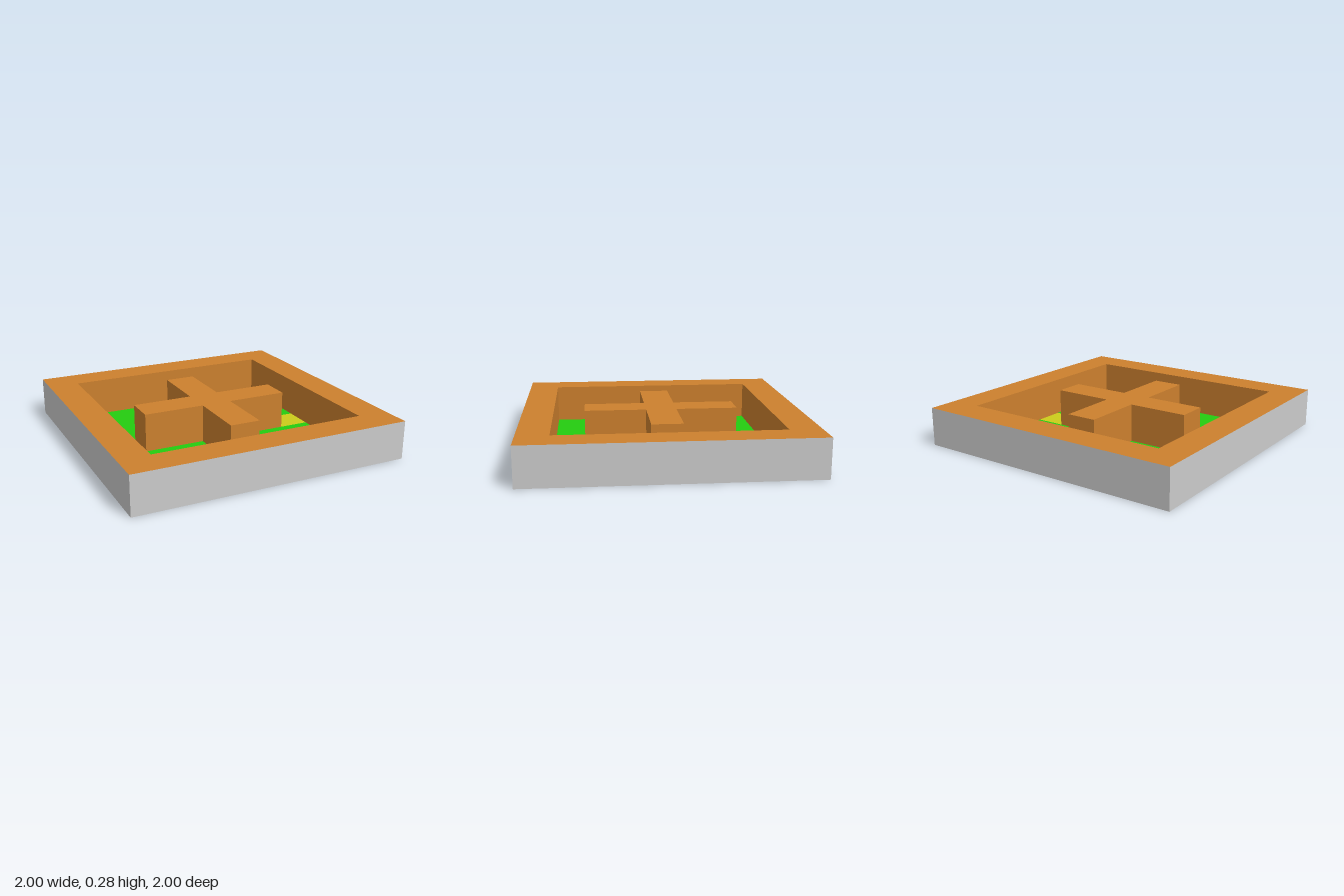
import * as THREE from 'three';

const HEIGHT = 0.278; // wall height
const PIT = 0.778;    // half width of the sunken floor
const ARM = 0.556;    // half length of the cross
const BAR = 0.111;    // half width of the cross arms

const paint = (color) => new THREE.MeshStandardMaterial({ color, side: THREE.DoubleSide, flatShading: true });
const grey = paint(0xcccccc);
const brown = paint(0xcc802e);
const green = paint(0x24cc10);
const yellow = paint(0xcccc1a);
const red = paint(0xcc111c);

const square = (h) => [[-h, -h], [h, -h], [h, h], [-h, h]].map(([x, y]) => new THREE.Vector2(x, y));

// Upright faces along a closed outline; counterclockwise outlines face outward
function wallGeometry(outline) {
  const positions = [];
  outline.forEach((a, i) => {
    const b = outline[(i + 1) % outline.length];
    const corners = [[a, 0], [b, 0], [b, HEIGHT], [a, 0], [b, HEIGHT], [a, HEIGHT]];
    for (const [p, y] of corners) positions.push(p.x, y, -p.y);
  });
  const geometry = new THREE.BufferGeometry();
  geometry.setAttribute('position', new THREE.Float32BufferAttribute(positions, 3));
  geometry.computeVertexNormals();
  return geometry;
}

// Flat horizontal face facing up
const flat = (geometry, y = 0) => geometry.rotateX(-Math.PI / 2).translate(0, y, 0);

export function createModel() {
  const model = new THREE.Group();
  model.name = 'courtyard';
  const add = (name, geometry, material) => {
    const mesh = new THREE.Mesh(geometry, material);
    mesh.name = name;
    model.add(mesh);
    return mesh;
  };

  // Surrounding wall: outer sides, inner sides and the rim between them
  add('outerWall', wallGeometry(square(1)), grey);
  add('innerWall', wallGeometry(square(PIT).reverse()), brown);
  const rim = new THREE.Shape(square(1));
  rim.holes.push(new THREE.Path(square(PIT).reverse()));
  add('rim', flat(new THREE.ShapeGeometry(rim), HEIGHT), brown);

  // Cross-shaped block, open underneath: one arm turned four times
  const cross = [];
  for (let i = 0; i < 4; i++) {
    for (const [x, y] of [[BAR, -BAR], [ARM, -BAR], [ARM, BAR]]) {
      cross.push(new THREE.Vector2(x, y).rotateAround(new THREE.Vector2(), i * Math.PI / 2));
    }
  }
  add('crossWall', wallGeometry(cross), brown);
  add('crossTop', flat(new THREE.ShapeGeometry(new THREE.Shape(cross)), HEIGHT), brown);

  // Yellow lining inside the front arm
  const lining = add('armLining', new THREE.PlaneGeometry(2 * BAR, HEIGHT), yellow);
  lining.rotation.y = Math.PI;
  lining.position.set(0, HEIGHT / 2, ARM - 0.003);

  // Four green rooms, joined by yellow passages at the arm ends
  const room = PIT - BAR;
  const passage = PIT - ARM;
  for (let i = 0; i < 4; i++) {
    const quarter = new THREE.Group();
    quarter.name = 'floorQuarter';
    const floor = new THREE.Mesh(flat(new THREE.PlaneGeometry(room, room)), green);
    floor.name = 'roomFloor';
    floor.position.set(BAR + room / 2, 0, BAR + room / 2);
    const path = new THREE.Mesh(flat(new THREE.PlaneGeometry(passage, 2 * BAR)), yellow);
    path.name = 'passageFloor';
    path.position.set(ARM + passage / 2, 0, 0);
    quarter.add(floor, path);
    quarter.rotation.y = i * Math.PI / 2;
    model.add(quarter);
  }

  // Red ring marked on the floor
  const ring = add('floorRing', flat(new THREE.RingGeometry(0.075, 0.125, 48)), red);
  ring.position.set(0.445, 0.004, -0.445);

  return model;
}
